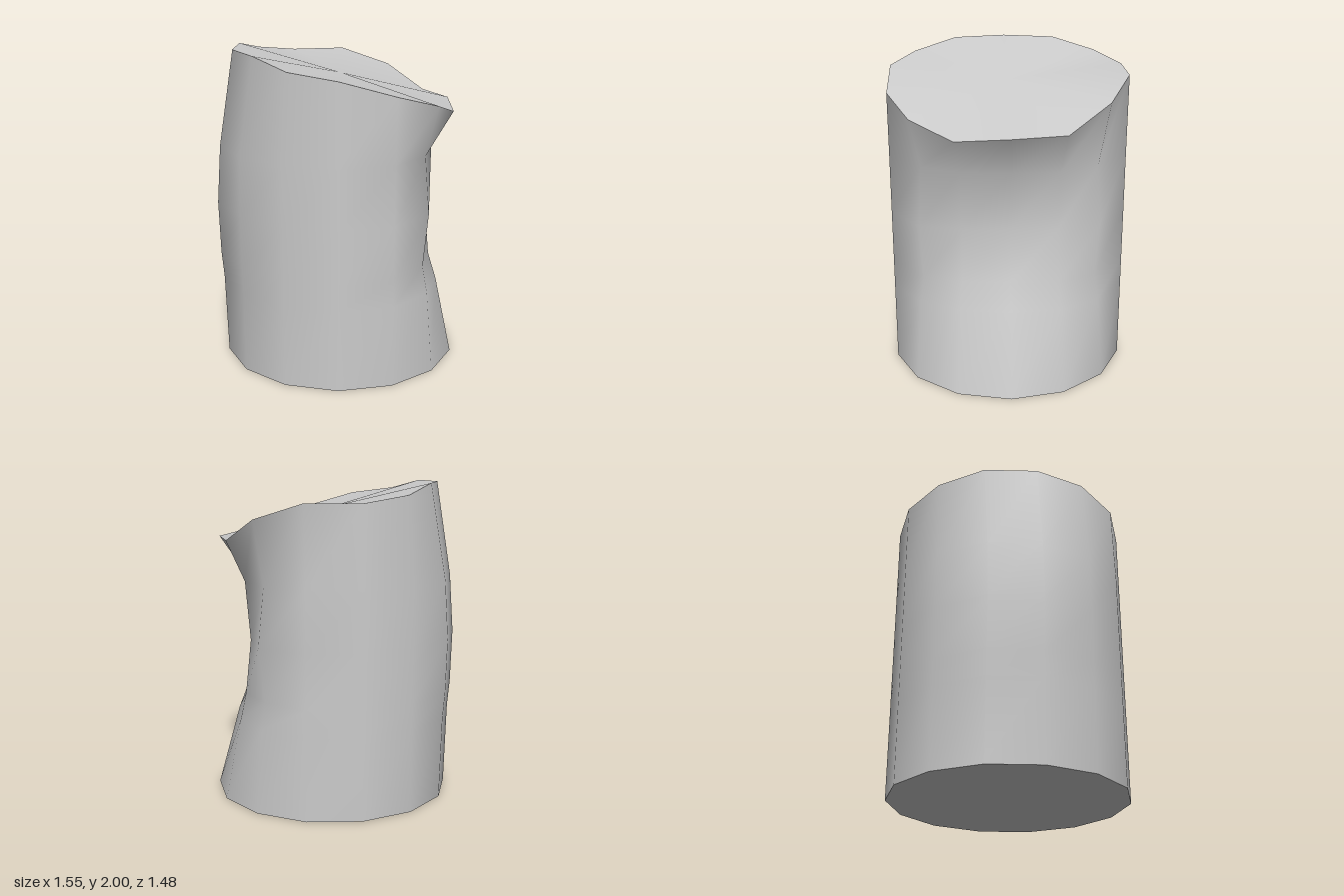
import * as THREE from 'three';
import { toCreasedNormals } from 'three/addons/utils/BufferGeometryUtils.js';

const SIDES = 14, RADIUS = 0.759, CENTRE = 0.018;
const LEVELS = [0, 0.52, 0.69, 1.03, 1.4]; // ring heights below the slanted rim

// rim height and x per column, counted from +x; front (+z) and back heights differ
const RIM_X = [0.738, 0.67, 0.49, 0.195, -0.15, -0.42, -0.58, -0.66];
const RIM_FRONT = [1.655, 1.625, 1.71, 1.8, 1.9, 1.94, 2, 2];
const RIM_BACK = [1.655, 1.655, 1.8, 1.9, 1.9, 1.94, 2, 2];

// x of the dented columns at each level, keyed by signed column number
const DENT_X = {
  '-2': [0.49, 0.46, 0.435, 0.47, 0.435],
  '-1': [0.70, 0.60, 0.565, 0.53, 0.56],
  '0': [0.773, 0.63, 0.565, 0.52, 0.565],
  '1': [0.70, 0.59, 0.54, 0.51, 0.54],
  '2': [0.49, 0.455, 0.43, 0.455, 0.43],
};
// the dent also draws these columns inward in z, by distance from +x
const DENT_Z = [
  [1, 1, 1, 1, 1],
  [1, 0.95, 0.9, 0.88, 0.9],
  [1, 0.94, 0.9, 0.93, 0.9],
];

// bulge on the opposite side, by level and by column
const BULGE = [0, -0.015, -0.03, -0.04, -0.015];
const bulgeWeight = (k) => {
  const n = Math.abs(k);
  if (n === 7) return 1;
  if (n === 6) return k < 0 ? 0.9 : 0.3;
  return 0;
};

function createTrunk() {
  const rings = LEVELS.length;
  const geo = new THREE.CylinderGeometry(RADIUS, RADIUS, rings, SIDES, rings, false, Math.PI / 2);
  const pos = geo.attributes.position;
  for (let i = 0; i < pos.count; i++) {
    const x = pos.getX(i), z = pos.getZ(i);
    const level = Math.round(pos.getY(i) + rings / 2);
    // cap centres
    if (Math.hypot(x, z) < 0.01) {
      pos.setXYZ(i, CENTRE, level === rings ? 1.84 : 0, 0);
      continue;
    }
    const k = Math.round(Math.atan2(z, x) / (2 * Math.PI / SIDES));
    const n = Math.abs(k);
    if (level === rings) {
      pos.setXYZ(i, RIM_X[n], (k < 0 ? RIM_BACK : RIM_FRONT)[n], z);
    } else if (n <= 2) {
      pos.setXYZ(i, DENT_X[k][level], LEVELS[level], z * DENT_Z[n][level]);
    } else {
      pos.setXYZ(i, CENTRE + x + BULGE[level] * bulgeWeight(k), LEVELS[level], z);
    }
  }
  // smooth sides, sharp rims
  return toCreasedNormals(geo, Math.PI / 3);
}

export function createModel() {
  const group = new THREE.Group();
  group.name = 'dentedColumn';
  const material = new THREE.MeshStandardMaterial({ color: 0xcccccc });
  const trunk = new THREE.Mesh(createTrunk(), material);
  trunk.name = 'trunk';
  group.add(trunk);
  return group;
}
